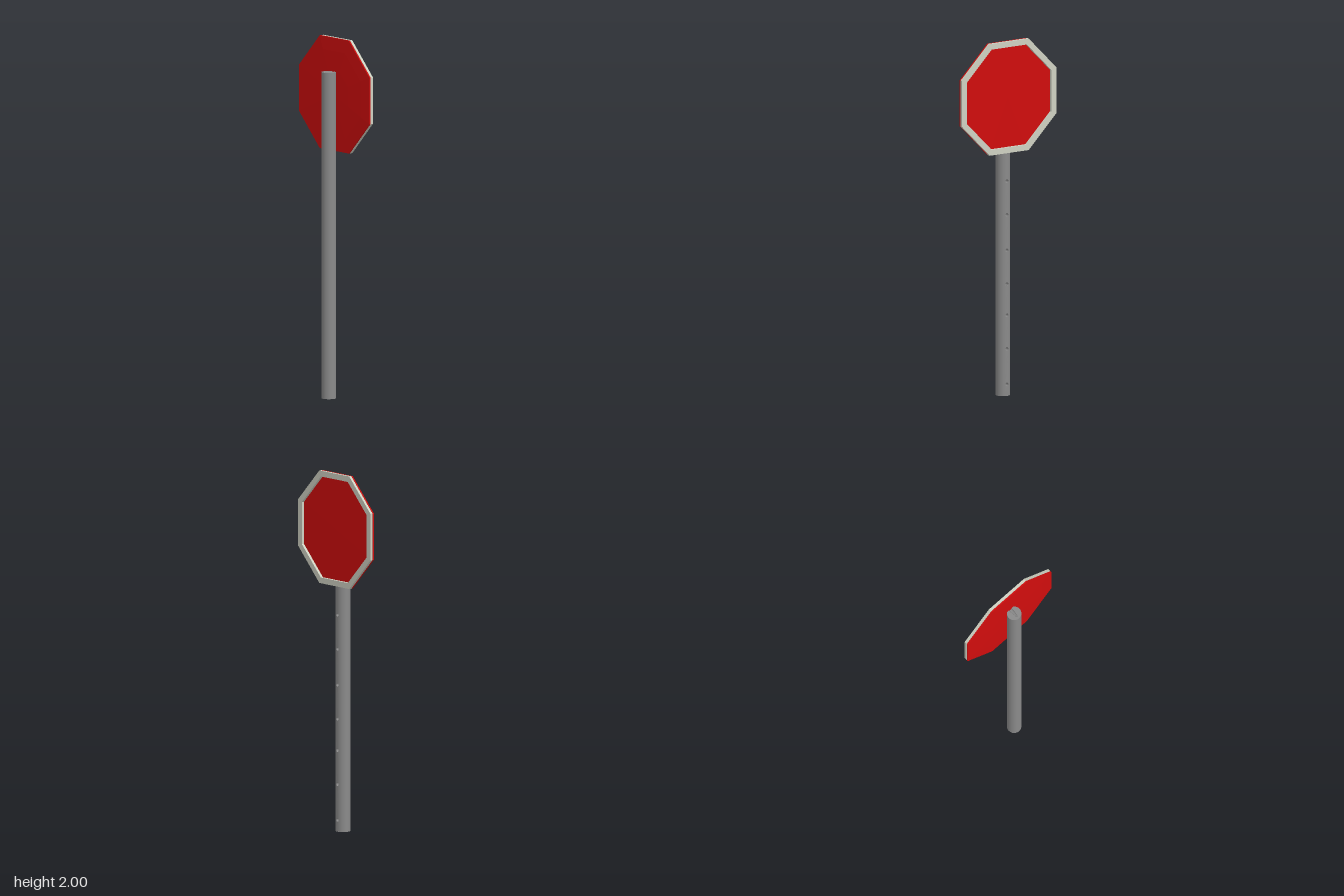
import * as THREE from 'three';

const makeMaterial = (name, color) =>
  new THREE.MeshStandardMaterial({ name, color, side: THREE.DoubleSide });

function part(name, geometry, material) {
  const mesh = new THREE.Mesh(geometry, material);
  mesh.name = name;
  return mesh;
}

// Eight-sided solid turned around the x axis; profile is [apothem, x] pairs
function octagon(profile) {
  const k = 1 / Math.cos(Math.PI / 8);
  const points = profile.map(([a, x]) => new THREE.Vector2(a * k, x));
  const geometry = new THREE.LatheGeometry(points, 8, Math.PI / 8).rotateZ(-Math.PI / 2).toNonIndexed();
  geometry.computeVertexNormals();
  return geometry;
}

const R = 0.04, H = 1.815;            // pole
const HOLE = 0.01, DEPTH = 0.068;     // bolt holes
const HALF = 0.4;                     // half angle of the drilled strip
const holeHeights = [0.065, 0.265, 0.455, 0.63, 0.82, 1.02, 1.21];

// Front strip of the pole wall, drilled flat and then bent round the pole
function drilledStrip() {
  const w = R * HALF;
  const shape = new THREE.Shape();
  shape.moveTo(-w, 0).lineTo(w, 0).lineTo(w, H).lineTo(HOLE, H);
  shape.absarc(0, H, HOLE, 0, -Math.PI, true);
  shape.lineTo(-w, H);
  for (const y of holeHeights) {
    shape.holes.push(new THREE.Path().absarc(0, y, HOLE, 0, Math.PI * 2, true));
  }
  const geometry = new THREE.ShapeGeometry(shape, 10);
  const { position, normal } = geometry.attributes;
  for (let i = 0; i < position.count; i++) {
    const angle = position.getX(i) / R;
    const c = Math.cos(angle), s = -Math.sin(angle);
    position.setXYZ(i, R * c, position.getY(i), R * s);
    normal.setXYZ(i, c, 0, s);
  }
  return geometry;
}

// Long pointed hollow running into the pole from its front
function hollow(phiLength) {
  const points = [];
  for (let i = 0; i <= 8; i++) {
    const a = (i / 8) * Math.PI / 2;
    points.push(new THREE.Vector2(HOLE * Math.cos(a), R - DEPTH * Math.sin(a)));
  }
  const geometry = new THREE.LatheGeometry(points, 16, 0, phiLength).rotateZ(-Math.PI / 2);
  const p = geometry.attributes.position;
  for (let i = 0; i < p.count; i++) {
    p.setX(i, Math.min(p.getX(i), Math.sqrt(R * R - p.getZ(i) ** 2)));
  }
  return geometry;
}

// Pole top with the slot left by the uppermost hollow
function slottedTop() {
  const a = Math.asin(HOLE / R);
  const shape = new THREE.Shape();
  shape.absarc(0, 0, R, a, Math.PI * 2 - a, false);
  shape.absellipse(R, 0, DEPTH, HOLE, Math.PI * 1.5, Math.PI * 0.5, true);
  return new THREE.ShapeGeometry(shape, 40).rotateX(-Math.PI / 2).translate(0, H, 0);
}

export function createModel() {
  const steel = makeMaterial('steel grey', 0x8a8a8a);
  const red = makeMaterial('sign red', 0xd00d0d);
  const white = makeMaterial('border off-white', 0xcfd1c2);

  const model = new THREE.Group();
  model.name = 'roadSign';

  // Pole
  const pole = new THREE.Group();
  pole.name = 'pole';
  pole.position.x = -0.012;
  const wall = new THREE.CylinderGeometry(R, R, H, 40, 1, true,
    Math.PI / 2 + HALF, Math.PI * 2 - HALF * 2).translate(0, H / 2, 0);
  pole.add(
    part('poleWall', wall, steel),
    part('poleDrilledStrip', drilledStrip(), steel),
    part('poleTop', slottedTop(), steel),
    part('poleBottom', new THREE.CircleGeometry(R, 40).rotateX(Math.PI / 2), steel),
    part('poleTopSlot', hollow(Math.PI).translate(0, H, 0), steel),
  );
  const holeGeometry = hollow(Math.PI * 2);
  for (const y of holeHeights) {
    const hole = part('boltHole', holeGeometry, steel);
    hole.position.y = y;
    pole.add(hole);
  }
  model.add(pole);

  // Sign: slightly domed red panel with a raised border ring on its face
  const sign = new THREE.Group();
  sign.name = 'sign';
  sign.position.y = 1.687;
  sign.add(
    part('signPanel', octagon([
      [0, 0.0185], [0.13, 0.02], [0.24, 0.0225], [0.314, 0.0255],
      [0.314, 0.033], [0.28, 0.034], [0, 0.0355],
    ]), red),
    part('signBorder', octagon([
      [0.282, 0.035], [0.314, 0.035], [0.314, 0.05], [0.282, 0.05], [0.282, 0.035],
    ]), white),
  );
  model.add(sign);
  return model;
}
